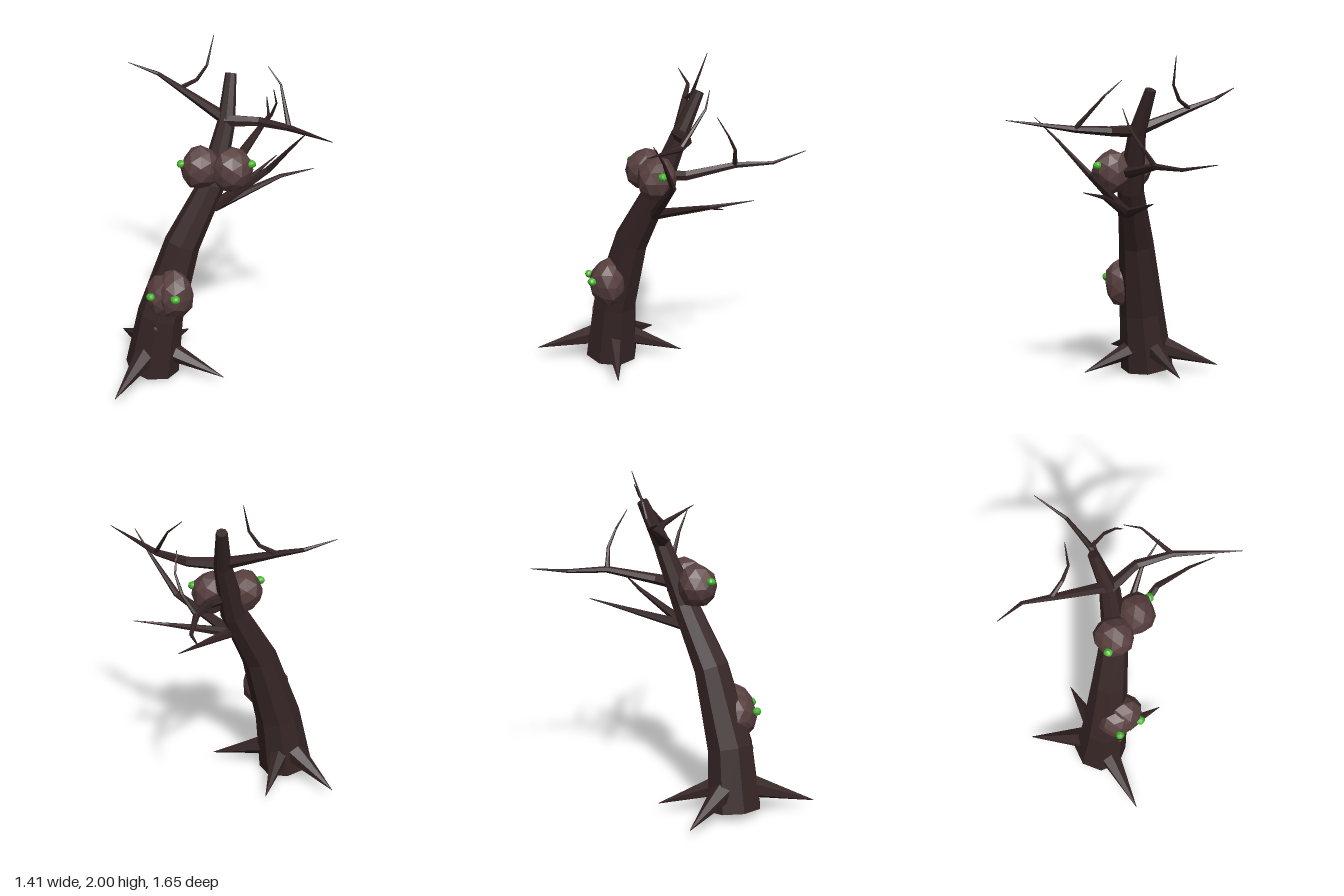
import * as THREE from 'three';

const mat = (name, color) => {
  const m = new THREE.MeshStandardMaterial({ color, flatShading: true });
  m.name = name;
  return m;
};

// Closed limb through a few points, tapering evenly from one radius to another
function limbGeometry(centres, r0, r1, sides) {
  const last = centres.length - 1;
  const along = [0];
  for (let i = 1; i <= last; i++) along.push(along[i - 1] + centres[i].distanceTo(centres[i - 1]));
  const q = new THREE.Quaternion();
  let prev = new THREE.Vector3(0, 1, 0);
  const pos = [], index = [];
  centres.forEach((c, i) => {
    const before = centres[Math.max(i - 1, 0)], after = centres[Math.min(i + 1, last)];
    const dir = after.clone().sub(before).normalize();
    q.premultiply(new THREE.Quaternion().setFromUnitVectors(prev, dir));
    prev = dir;
    const r = THREE.MathUtils.lerp(r0, r1, along[i] / along[last]);
    for (let s = 0; s < sides; s++) {
      const a = (s + 0.5) / sides * Math.PI * 2;
      const v = new THREE.Vector3(Math.cos(a) * r, 0, Math.sin(a) * r).applyQuaternion(q).add(c);
      pos.push(v.x, v.y, v.z);
    }
  });
  const foot = pos.length / 3, tip = foot + 1;
  pos.push(...centres[0].toArray(), ...centres[last].toArray());
  for (let s = 0; s < sides; s++) {
    const n = (s + 1) % sides;
    for (let i = 0; i < last; i++) {
      const a = i * sides + s, b = i * sides + n;
      index.push(a, a + sides, b, b, a + sides, b + sides);
    }
    index.push(foot, s, n, tip, last * sides + n, last * sides + s);
  }
  const g = new THREE.BufferGeometry();
  g.setAttribute('position', new THREE.Float32BufferAttribute(pos, 3));
  g.setIndex(index);
  const flat = g.toNonIndexed();
  flat.computeVertexNormals();
  return flat;
}

// Faceted lump whose corners are pushed in and out by a rule on their direction
function lumpGeometry(seed) {
  const g = new THREE.IcosahedronGeometry(1, 1);
  const p = g.attributes.position, v = new THREE.Vector3();
  for (let i = 0; i < p.count; i++) {
    v.fromBufferAttribute(p, i);
    v.multiplyScalar(1 + 0.06 * Math.sin(v.x * 7 + v.y * 11 + v.z * 5 + seed));
    p.setXYZ(i, v.x, v.y, v.z);
  }
  g.computeVertexNormals();
  return g;
}

export function createModel() {
  const bark = mat('dark bark', 0x362525);
  const burlWood = mat('burl wood', 0x573e3e);
  const green = mat('glowing green', 0x48b52e);
  const model = new THREE.Group();
  model.name = 'deadTree';

  const V = (x, y, z) => new THREE.Vector3(x, y, z);
  const limb = (name, r0, r1, points, sides = 6) => {
    const m = new THREE.Mesh(limbGeometry(points, r0, r1, sides), bark);
    m.name = name;
    model.add(m);
  };
  const branch = (name, radius, ...points) => limb(name, radius, 0.002, points);
  const lump = (name, material, centre, radius, tall) => {
    const m = new THREE.Mesh(lumpGeometry(model.children.length), material);
    m.name = name;
    m.position.copy(centre);
    m.scale.set(radius, radius * tall, radius);
    model.add(m);
  };

  // Leaning trunk
  limb('trunk', 0.165, 0.033, [
    V(-0.32, 0.03, 0.355), V(-0.27, 0.4, 0.325), V(-0.18, 0.85, 0.21),
    V(-0.07, 1.2, 0.05), V(-0.05, 1.55, -0.085), V(-0.085, 1.805, -0.195),
  ], 8);

  // Spiky roots fanning out of the foot
  const foot = V(-0.31, 0.19, 0.34);
  branch('rightRoot', 0.09, foot, V(-0.7, 0.05, 0.115));
  branch('backRoot', 0.08, foot, V(-0.335, 0.05, -0.09));
  branch('leftRoot', 0.08, foot, V(0.14, 0.05, 0.275));
  branch('frontRoot', 0.09, foot, V(-0.275, 0.07, 0.82));

  // Upper branches, each with a twig growing from its fork
  const rightFork = V(-0.38, 1.685, -0.105);
  branch('upperRightBranch', 0.038, V(-0.04, 1.56, -0.08), rightFork,
    V(-0.54, 1.74, -0.12), V(-0.705, 1.8, -0.055));
  branch('upperRightTwig', 0.015, rightFork, V(-0.29, 1.74, -0.15),
    V(-0.238, 1.83, -0.18), V(-0.226, 2, -0.24));

  const leftFork = V(0.35, 1.585, -0.105);
  branch('upperLeftBranch', 0.038, V(-0.05, 1.56, -0.07), V(0.145, 1.57, -0.135),
    leftFork, V(0.705, 1.635, 0.06));
  branch('upperLeftTwig', 0.015, leftFork, V(0.22, 1.78, -0.24), V(0.125, 1.865, -0.26));

  const backFork = V(-0.015, 1.385, -0.41);
  branch('backBranch', 0.036, V(-0.03, 1.31, 0), V(0.015, 1.325, -0.13), backFork,
    V(-0.07, 1.385, -0.635), V(-0.19, 1.425, -0.83));
  branch('backTwig', 0.015, backFork, V(0.07, 1.5, -0.41), V(0.125, 1.6, -0.37),
    V(0.14, 1.71, -0.305));

  // Lower branches sharing one joint
  const joint = V(-0.05, 1.06, 0.06);
  branch('lowerLongBranch', 0.036, joint, V(0.245, 1.32, -0.06),
    V(0.42, 1.52, -0.015), V(0.54, 1.65, 0.035));
  branch('lowerMiddleBranch', 0.033, joint, V(0.23, 1.205, -0.24), V(0.395, 1.25, -0.345));
  branch('lowerBackBranch', 0.033, joint, V(0, 1.115, -0.2), V(0.05, 1.19, -0.525));

  // Burls bulging from the trunk
  lump('lowerRightBurl', burlWood, V(-0.215, 0.56, 0.37), 0.11, 1.25);
  lump('lowerLeftBurl', burlWood, V(-0.15, 0.58, 0.35), 0.115, 1.35);
  lump('upperRightBurl', burlWood, V(-0.105, 1.32, 0.115), 0.117, 1.1);
  lump('upperLeftBurl', burlWood, V(0.06, 1.315, 0.04), 0.117, 1.15);
  lump('barkKnot', burlWood, V(-0.225, 0.37, 0.45), 0.013, 1.5);

  // Green eyes on the burls
  lump('lowerRightEye', green, V(-0.235, 0.6, 0.48), 0.026, 0.9);
  lump('lowerLeftEye', green, V(-0.085, 0.607, 0.445), 0.03, 0.85);
  lump('upperRightEye', green, V(-0.182, 1.36, 0.205), 0.027, 0.85);
  lump('upperLeftEye', green, V(0.165, 1.36, 0), 0.028, 0.85);

  return model;
}
